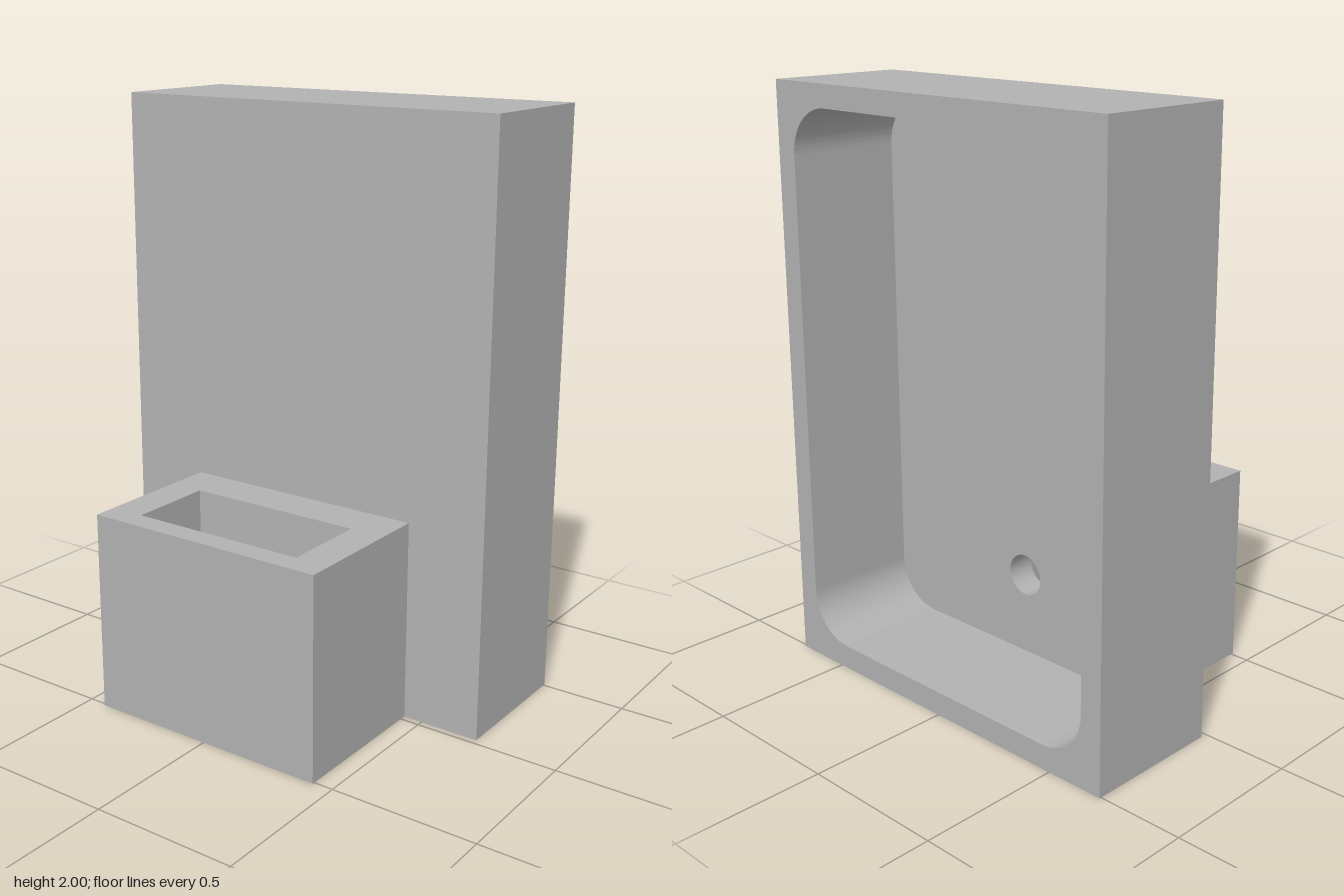
import * as THREE from 'three';
import { toCreasedNormals } from 'three/addons/utils/BufferGeometryUtils.js';

const grey = new THREE.MeshStandardMaterial({ color: 0xb2b2b2 });
grey.name = 'grey';

const polygon = (points) => points.map(([x, y]) => new THREE.Vector2(x, y));
const rect = (x0, x1, y0, y1) => polygon([[x0, y0], [x1, y0], [x1, y1], [x0, y1]]);

// Rounded rectangle path
function roundedRect(x0, x1, y0, y1, r) {
  const p = new THREE.Path();
  p.absarc(x1 - r, y0 + r, r, -Math.PI / 2, 0);
  p.absarc(x1 - r, y1 - r, r, 0, Math.PI / 2);
  p.absarc(x0 + r, y1 - r, r, Math.PI / 2, Math.PI);
  p.absarc(x0 + r, y0 + r, r, Math.PI, Math.PI * 1.5);
  p.closePath();
  return p;
}

// Extrudes an outline with holes from one position to another along x or y
function slab(name, outline, holes, axis, from, to) {
  const shape = new THREE.Shape(outline);
  shape.holes.push(...holes);
  let geo = new THREE.ExtrudeGeometry(shape, { depth: to - from, bevelEnabled: false, curveSegments: 20 });
  if (axis === 'x') geo.rotateY(Math.PI / 2).translate(from, 0, 0);
  else geo.rotateX(-Math.PI / 2).translate(0, from, 0);
  geo = toCreasedNormals(geo, 0.6);
  const mesh = new THREE.Mesh(geo, grey);
  mesh.name = name;
  return mesh;
}

export function createModel() {
  const model = new THREE.Group();
  model.name = 'basinWithBox';

  const back = 0.022, floor = 0.10, rim = 0.507;   // basin planes along x
  const slotBack = -0.113, slotFront = 0, slotTop = 0.55, slotHalf = 0.12;
  const drain = () => new THREE.Path().absarc(0, 0.366, 0.071, 0, Math.PI * 2);

  // Upright basin: walls with a rounded pocket, and a back plate with the drain
  const basin = new THREE.Group();
  basin.name = 'basin';
  const outer = rect(-0.707, 0.707, 0, 2);
  basin.add(
    slab('basinWalls', outer, [roundedRect(-0.629, 0.629, 0.083, 1.924, 0.16)], 'x', floor, rim),
    slab('basinBack', outer, [drain()], 'x', back, floor),
  );

  // Box behind the basin, with a pocket open at the top and a drain slot open below
  const box = new THREE.Group();
  box.name = 'box';
  const x0 = -0.509, half = 0.433;
  const notched = polygon([
    [x0, -half], [back, -half], [back, -slotHalf], [slotBack, -slotHalf],
    [slotBack, slotHalf], [back, slotHalf], [back, half], [x0, half],
  ]);
  const pocket = () => new THREE.Path(rect(-0.429, -0.129, -0.312, 0.312));
  box.add(
    slab('boxFloor', notched, [], 'y', 0, 0.08),
    slab('boxLowerWalls', notched, [pocket()], 'y', 0.08, slotTop),
    slab('boxUpperWalls', rect(x0, back, -half, half), [pocket()], 'y', slotTop, 0.69),
    slab('slotWall', rect(-slotHalf, slotHalf, 0, slotTop), [drain()], 'x', slotFront, back),
  );

  model.add(basin, box);
  return model;
}
